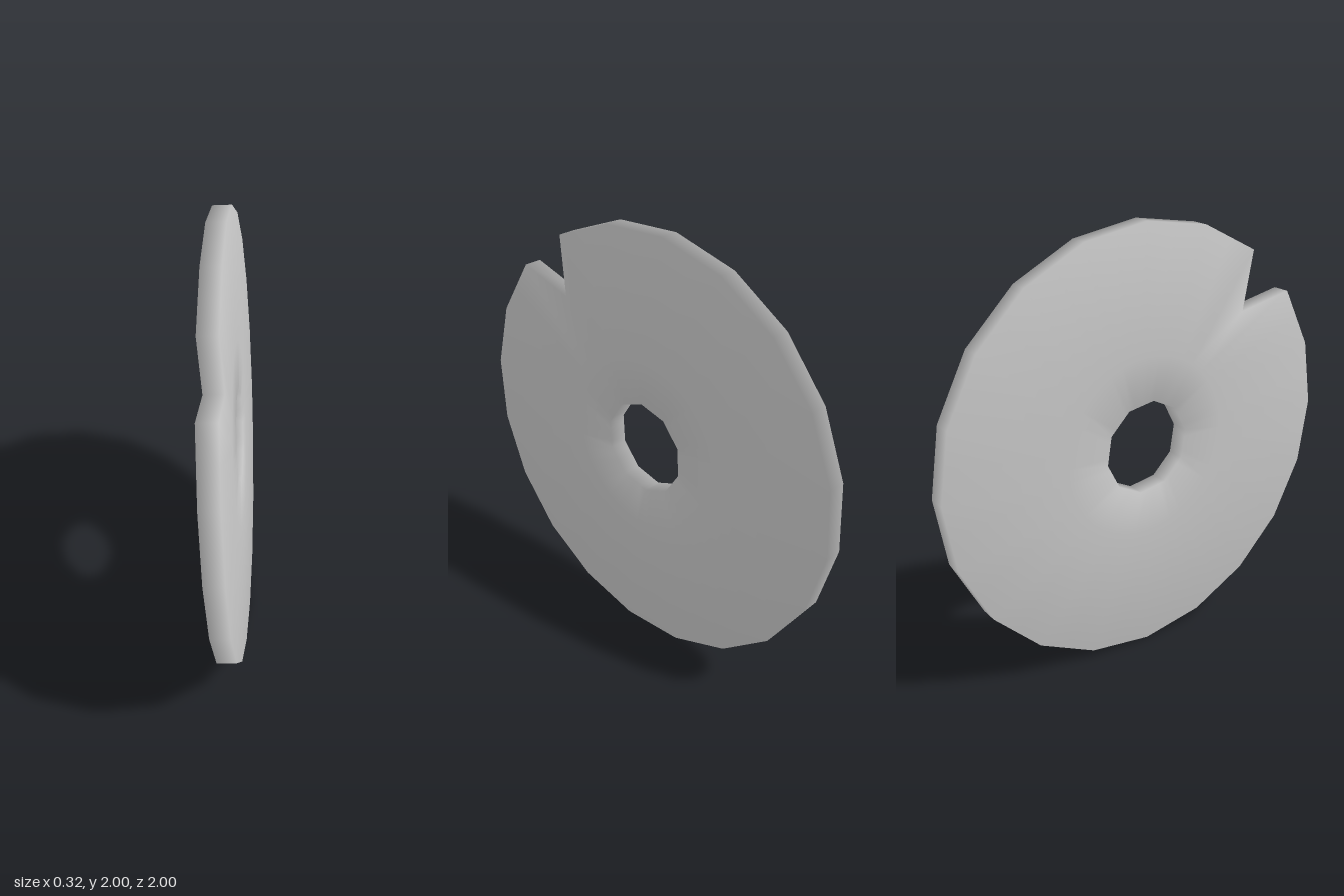
import * as THREE from 'three';

const DEG = Math.PI / 180;
const COLUMNS = 40;      // two columns per side of the rim
const START = 2.2;       // angle of the first rim corner, degrees
const STEP = 360 / COLUMNS;
const NOTCH_COLUMN = 5;
const HALF = 0.042;      // half thickness

// Radius of a regular polygon at an angle, with one corner at "first"
function polygonRadius(angle, radius, sides, first) {
  const step = 360 / sides;
  const a = (((angle - first) % step) + step) % step;
  return radius * Math.cos(step / 2 * DEG) / Math.cos((a - step / 2) * DEG);
}

function discGeometry() {
  // The disc leans: its mid-plane is x = 0.105 z - 0.06 (y - 1)
  const normal = new THREE.Vector3(1, 0.06, -0.105).normalize();
  const positions = [], indices = [];

  for (let k = 0; k < COLUMNS; k++) {
    const angle = START + k * STEP;
    const hole = polygonRadius(angle, 0.216, 10, 11.2);
    const rim = k === NOTCH_COLUMN ? 0.754 : polygonRadius(angle, 0.998, 20, START);
    // Closed cross-section: left face outwards, then right face inwards
    const section = [[hole, 1], [0.42, 1], [rim, 1], [rim, -1], [0.42, -1], [hole, -1]];
    for (const [r, side] of section) {
      const z = r * Math.cos(angle * DEG), y = r * Math.sin(angle * DEG);
      const p = new THREE.Vector3(0.105 * z - 0.06 * y, 1 + y, z)
        .addScaledVector(normal, side * HALF);
      positions.push(p.x, p.y, p.z);
    }
  }

  for (let k = 0; k < COLUMNS; k++) {
    const next = (k + 1) % COLUMNS;
    for (let i = 0; i < 6; i++) {
      const j = (i + 1) % 6;
      const a = k * 6 + i, b = k * 6 + j, c = next * 6 + j, d = next * 6 + i;
      indices.push(a, c, b, a, d, c);
    }
  }

  const geometry = new THREE.BufferGeometry();
  geometry.setAttribute('position', new THREE.Float32BufferAttribute(positions, 3));
  geometry.setIndex(indices);
  geometry.computeVertexNormals();
  return geometry;
}

export function createModel() {
  const group = new THREE.Group();
  group.name = 'notchedDisc';
  const material = new THREE.MeshStandardMaterial({ color: 0xcccccc });
  const disc = new THREE.Mesh(discGeometry(), material);
  disc.name = 'disc';
  group.add(disc);
  return group;
}
